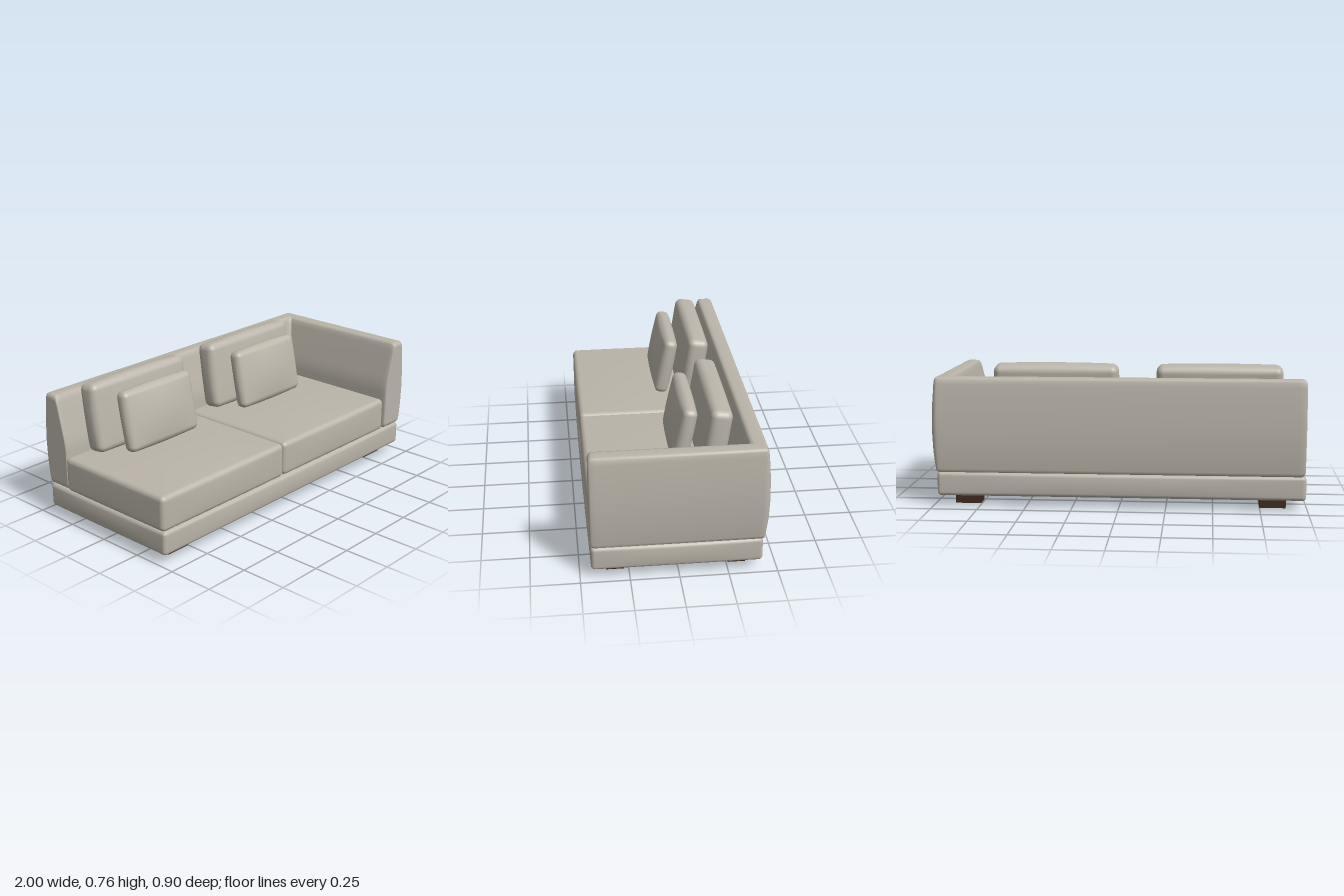
import * as THREE from 'three';
import { mergeVertices } from 'three/addons/utils/BufferGeometryUtils.js';

const fabric = new THREE.MeshStandardMaterial({ color: 0xbab4a9 });
fabric.name = 'greige fabric';
const wood = new THREE.MeshStandardMaterial({ color: 0x402a1f });
wood.name = 'dark wood';

// Weld the seams so the shading runs smoothly round the edges
function smooth(geometry) {
  geometry.deleteAttribute('normal');
  geometry.deleteAttribute('uv');
  const g = mergeVertices(geometry, 1e-5);
  g.computeVertexNormals();
  return g;
}

// Upholstered box: rounded edges, faces swelling outwards by bulge [x, y, z]
function softBox(size, radius, bulge) {
  const edge = 4, flat = 8, n = edge * 2 + flat;
  const half = size.map((s) => s / 2);
  const g = new THREE.BoxGeometry(2, 2, 2, n, n, n);
  const pos = g.attributes.position;
  for (let i = 0; i < pos.count; i++) {
    const raw = [pos.getX(i), pos.getY(i), pos.getZ(i)];
    // Gather grid lines at the edges
    const p = raw.map((v, a) => {
      const k = Math.round(((v + 1) / 2) * n), h = half[a];
      if (k <= edge) return -h + (radius * k) / edge;
      if (k >= n - edge) return h - (radius * (n - k)) / edge;
      return -h + radius + ((h - radius) * 2 * (k - edge)) / flat;
    });
    const core = p.map((v, a) => Math.max(radius - half[a], Math.min(half[a] - radius, v)));
    const out = new THREE.Vector3(...p.map((v, a) => v - core[a])).setLength(radius).toArray();
    const q = core.map((v, a) => v + out[a]);
    const u = q.map((v, a) => v / half[a]);
    const swollen = q.map((v, a) => {
      const b = u[(a + 1) % 3], c = u[(a + 2) % 3];
      return v + bulge[a] * u[a] * (1 - b * b) * (1 - c * c);
    });
    pos.setXYZ(i, ...swollen);
  }
  return smooth(g);
}

// One tapered profile swept round the back and the left arm, mitred at the corner
function backAndArmGeometry() {
  // [distance in from the outer face, height]
  const profile = [
    [0.03, 0.185], [0.02, 0.19], [0.016, 0.205], [0.005, 0.3], [0, 0.42], [0.005, 0.55],
    [0.014, 0.66], [0.018, 0.685], [0.024, 0.694], [0.035, 0.698], [0.08, 0.698],
    [0.094, 0.695], [0.102, 0.685], [0.11, 0.66], [0.15, 0.5], [0.161, 0.45],
    [0.166, 0.4], [0.168, 0.205], [0.165, 0.19], [0.155, 0.185],
  ];
  const r = 0.035, endX = -0.985, endZ = 0.445;
  const caps = [[0, 0], [0.88, 0], [0.92, 0], [0.955, 0.003], [0.985, 0.009], [1, 0.022], [1, 0.04]];
  const shrink = (s, [d, y]) => [0.085 + (d - 0.085) * s, 0.442 + (y - 0.442) * s];
  const stations = [];
  for (const [s, inset] of caps) {
    stations.push((p) => {
      const [d, y] = shrink(s, p);
      return [endX + inset, y, -0.45 + d];
    });
  }
  stations.push(([d, y]) => [1 - Math.max(d, r) - 0.015, y, -0.45 + d]);
  for (let k = 0; k <= 6; k++) {
    const t = (k / 6) * Math.PI / 2;
    stations.push(([d, y]) => {
      const q = Math.max(d, r), e = Math.max(0, r - d);
      return [1 - q + e * Math.sin(t), y, -0.45 + q - e * Math.cos(t)];
    });
  }
  stations.push(([d, y]) => [1 - d, y, -0.45 + Math.max(d, r) + 0.015]);
  for (const [s, inset] of [...caps].reverse()) {
    stations.push((p) => {
      const [d, y] = shrink(s, p);
      return [1 - d, y, endZ - inset];
    });
  }
  const n = profile.length, points = [], index = [];
  stations.forEach((at, j) => {
    profile.forEach((p, i) => {
      points.push(...at(p));
      if (j === stations.length - 1) return;
      const a = j * n + i, b = j * n + ((i + 1) % n);
      index.push(a, b, a + n, b, b + n, a + n);
    });
  });
  const g = new THREE.BufferGeometry();
  g.setAttribute('position', new THREE.Float32BufferAttribute(points, 3));
  g.setIndex(index);
  return smooth(g);
}

export function createModel() {
  const sofa = new THREE.Group();
  sofa.name = 'sofa';
  const add = (name, geometry, material, x, y, z, tilt = 0) => {
    const mesh = new THREE.Mesh(geometry, material);
    mesh.name = name;
    mesh.position.set(x, y, z);
    mesh.rotation.x = tilt;
    sofa.add(mesh);
  };

  // Plinth base and L-shaped back with arm
  add('base', softBox([1.97, 0.13, 0.868], 0.02, [0.008, 0, 0.008]), fabric, -0.006, 0.12, 0.01);
  add('backAndArm', backAndArmGeometry(), fabric, 0, 0, 0);

  // Two seats, each with a large back cushion and a smaller loose pillow
  const seat = softBox([0.908, 0.19, 0.727], 0.026, [0.002, 0.014, 0.006]);
  const backCushion = softBox([0.67, 0.37, 0.115], 0.035, [0.008, 0.008, 0.008]);
  const pillow = softBox([0.49, 0.325, 0.075], 0.03, [0.006, 0.006, 0.022]);
  [['right', -0.544, -0.53, -0.52], ['left', 0.366, 0.35, 0.345]].forEach(([side, sx, bx, px]) => {
    add(side + 'Seat', seat, fabric, sx, 0.281, 0.08);
    add(side + 'BackCushion', backCushion, fabric, bx, 0.568, -0.225, -0.15);
    add(side + 'Pillow', pillow, fabric, px, 0.557, -0.073, -0.2);
  });

  // Block feet
  const foot = new THREE.BoxGeometry(0.14, 0.06, 0.09);
  for (const [side, x] of [['Right', -0.82], ['Left', 0.825]]) {
    add('front' + side + 'Foot', foot, wood, x, 0.03, 0.32);
    add('back' + side + 'Foot', foot, wood, x, 0.03, -0.305);
  }
  return sofa;
}
